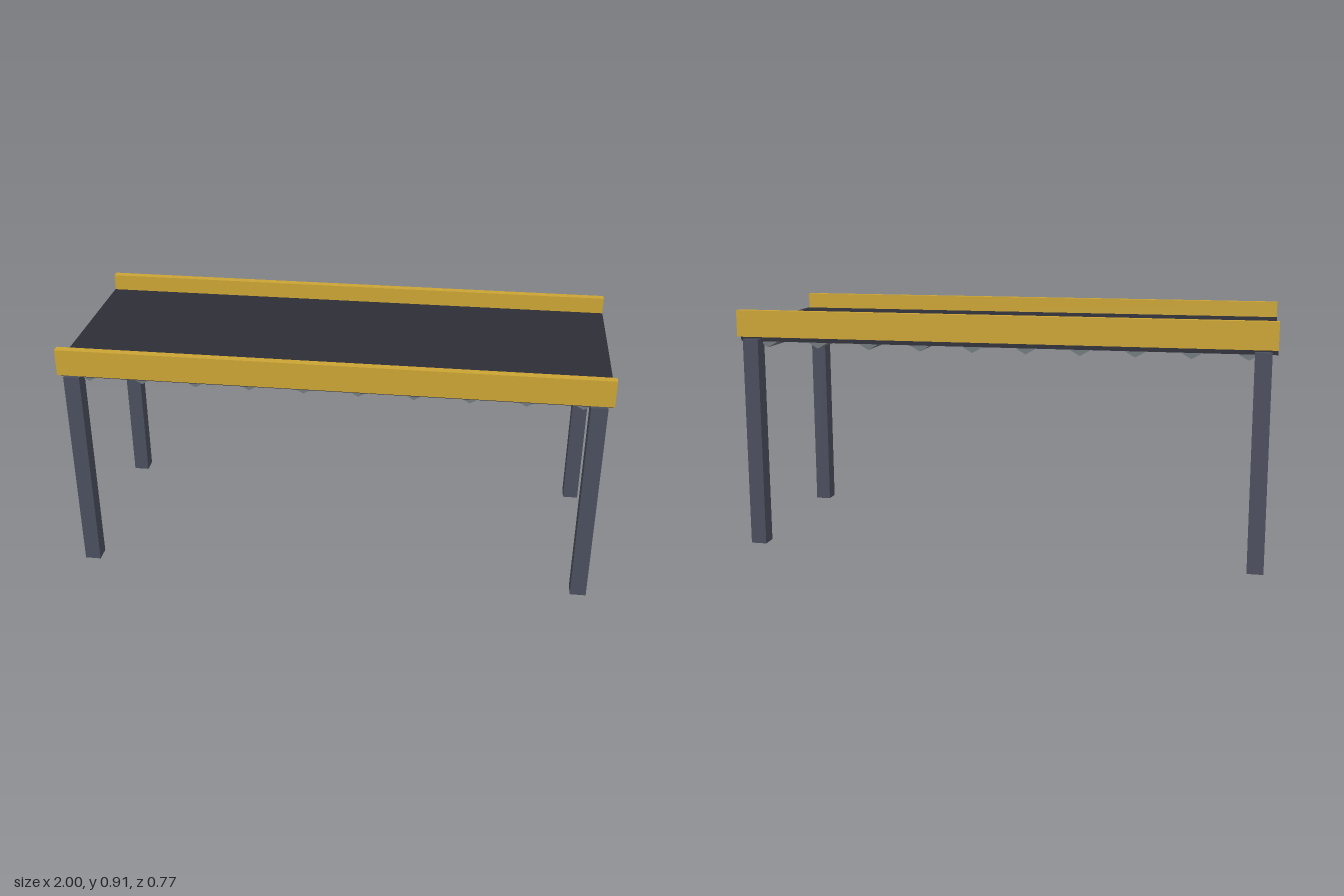
import * as THREE from 'three';

const material = (name, color) => {
  const m = new THREE.MeshStandardMaterial({ color });
  m.name = name;
  return m;
};

export function createModel() {
  const belt = material('charcoal belt', 0x2d2d37);
  const frame = material('slate steel', 0x4a4e5c);
  const yellow = material('safety yellow', 0xc9a334);
  const steel = material('roller grey', 0x70787c);
  steel.flatShading = true;

  const model = new THREE.Group();
  model.name = 'conveyor';
  const add = (name, geometry, mat, x, y, z) => {
    const mesh = new THREE.Mesh(geometry, mat);
    mesh.name = name;
    mesh.position.set(x, y, z);
    model.add(mesh);
  };

  // Belt slab
  add('beltDeck', new THREE.BoxGeometry(2, 0.06, 0.7), belt, 0, 0.82, 0);

  // Side rails and legs, mirrored front to back
  const railGeometry = new THREE.BoxGeometry(2, 0.1, 0.03);
  const legGeometry = new THREE.BoxGeometry(0.06, 0.8, 0.06);
  for (const s of [1, -1]) {
    const end = s > 0 ? 'front' : 'back';
    add(end + 'Rail', railGeometry, yellow, 0, 0.86, s * 0.37);
    add(end + 'LeftLeg', legGeometry, frame, 0.95, 0.4, s * 0.35);
    add(end + 'RightLeg', legGeometry, frame, -0.95, 0.4, s * 0.35);
  }

  // Six-sided rollers, mostly sunk in the deck, with an edge pointing down
  const rollerGeometry = new THREE.CylinderGeometry(0.04, 0.04, 0.66, 6).rotateX(Math.PI / 2);
  for (let i = 0; i < 10; i++) {
    add('roller' + (i + 1), rollerGeometry, steel, -0.9 + i * 0.2, 0.805, 0);
  }

  return model;
}
